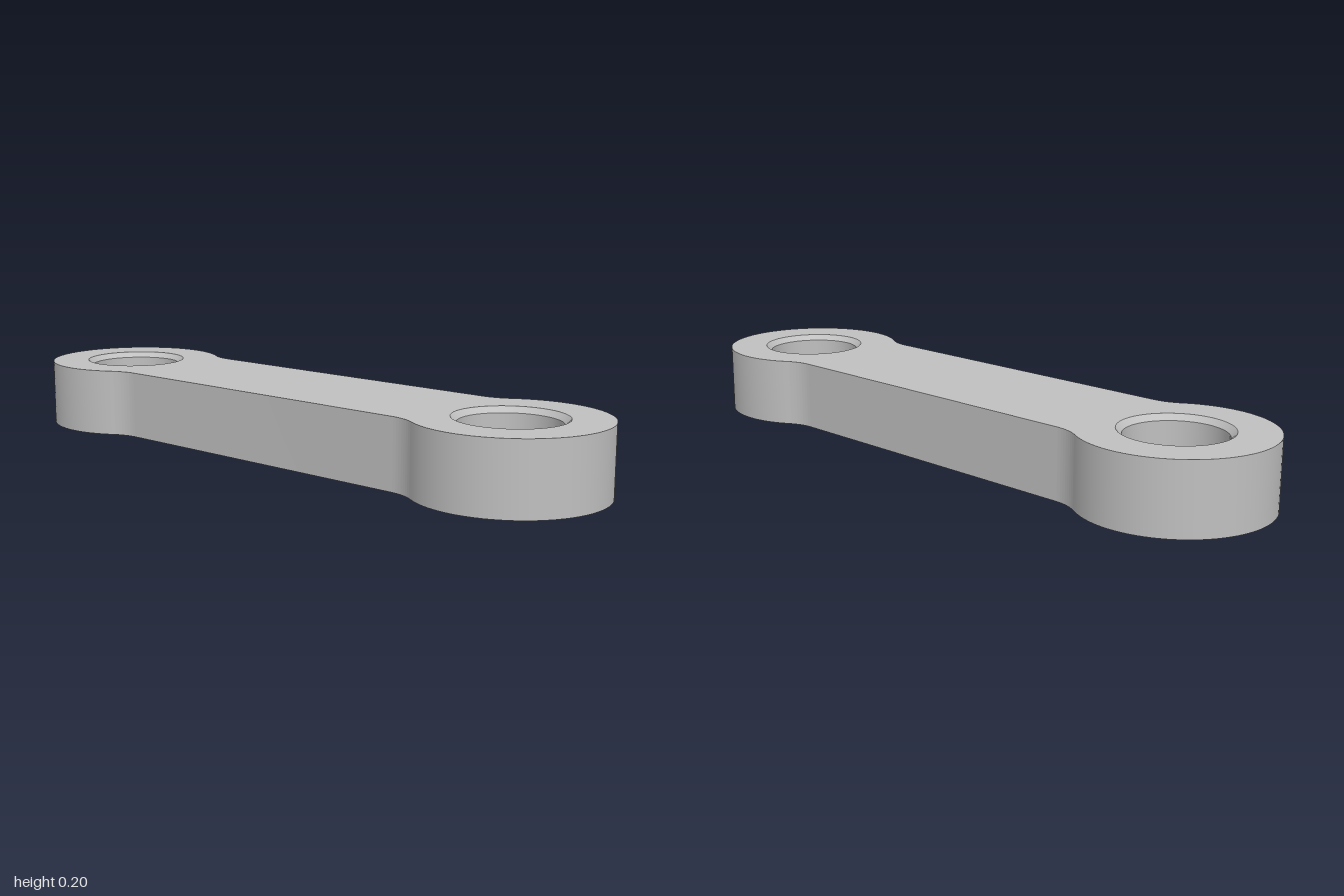
import * as THREE from 'three';
import { toCreasedNormals } from 'three/addons/utils/BufferGeometryUtils.js';

const HEIGHT = 0.2;
const EYE_X = 0.733;      // centre of each rounded end
const EYE_R = 0.267;      // outer radius of each end
const HALF_WIDTH = 0.2;   // half width of the bar
const FILLET_R = 0.15;    // blend between bar and ends
const BORE_R = 0.138;
const CHAMFER = 0.016;

// Outline: two round ends joined to a straight bar by tangent fillets
function linkShape() {
  const rise = HALF_WIDTH + FILLET_R;
  const reach = Math.sqrt((EYE_R + FILLET_R) ** 2 - rise ** 2);
  const a = Math.atan2(rise, reach);
  const fx = EYE_X - reach;
  const { PI } = Math;
  const shape = new THREE.Shape();
  shape.absarc(EYE_X, 0, EYE_R, a - PI, PI - a, false);
  shape.absarc(fx, rise, FILLET_R, -a, -PI / 2, true);
  shape.absarc(-fx, rise, FILLET_R, -PI / 2, a - PI, true);
  shape.absarc(-EYE_X, 0, EYE_R, a, 2 * PI - a, false);
  shape.absarc(-fx, -rise, FILLET_R, PI - a, PI / 2, true);
  shape.absarc(fx, -rise, FILLET_R, PI / 2, a, true);
  for (const side of [-1, 1]) {
    const hole = new THREE.Path();
    hole.absarc(side * EYE_X, 0, BORE_R + CHAMFER, 0, 2 * PI, true);
    shape.holes.push(hole);
  }
  return shape;
}

export function createModel() {
  const group = new THREE.Group();
  group.name = 'link';
  const steel = new THREE.MeshStandardMaterial({ color: 0xc0c0c0 });
  steel.name = 'grey steel';

  // Flat body lying on the ground
  const bodyGeo = new THREE.ExtrudeGeometry(linkShape(), {
    depth: HEIGHT, bevelEnabled: false, curveSegments: 32,
  });
  bodyGeo.rotateX(-Math.PI / 2);
  const body = new THREE.Mesh(toCreasedNormals(bodyGeo, 0.5), steel);
  body.name = 'linkBody';
  group.add(body);

  // Inner wall of each hole, chamfered at top and bottom
  const profile = [
    [BORE_R + CHAMFER, HEIGHT], [BORE_R, HEIGHT - CHAMFER],
    [BORE_R, CHAMFER], [BORE_R + CHAMFER, 0],
  ].map(([r, y]) => new THREE.Vector2(r, y));
  const boreGeo = toCreasedNormals(new THREE.LatheGeometry(profile, 64), 0.5);
  for (const [name, x] of [['leftBore', EYE_X], ['rightBore', -EYE_X]]) {
    const bore = new THREE.Mesh(boreGeo, steel);
    bore.name = name;
    bore.position.x = x;
    group.add(bore);
  }
  return group;
}
